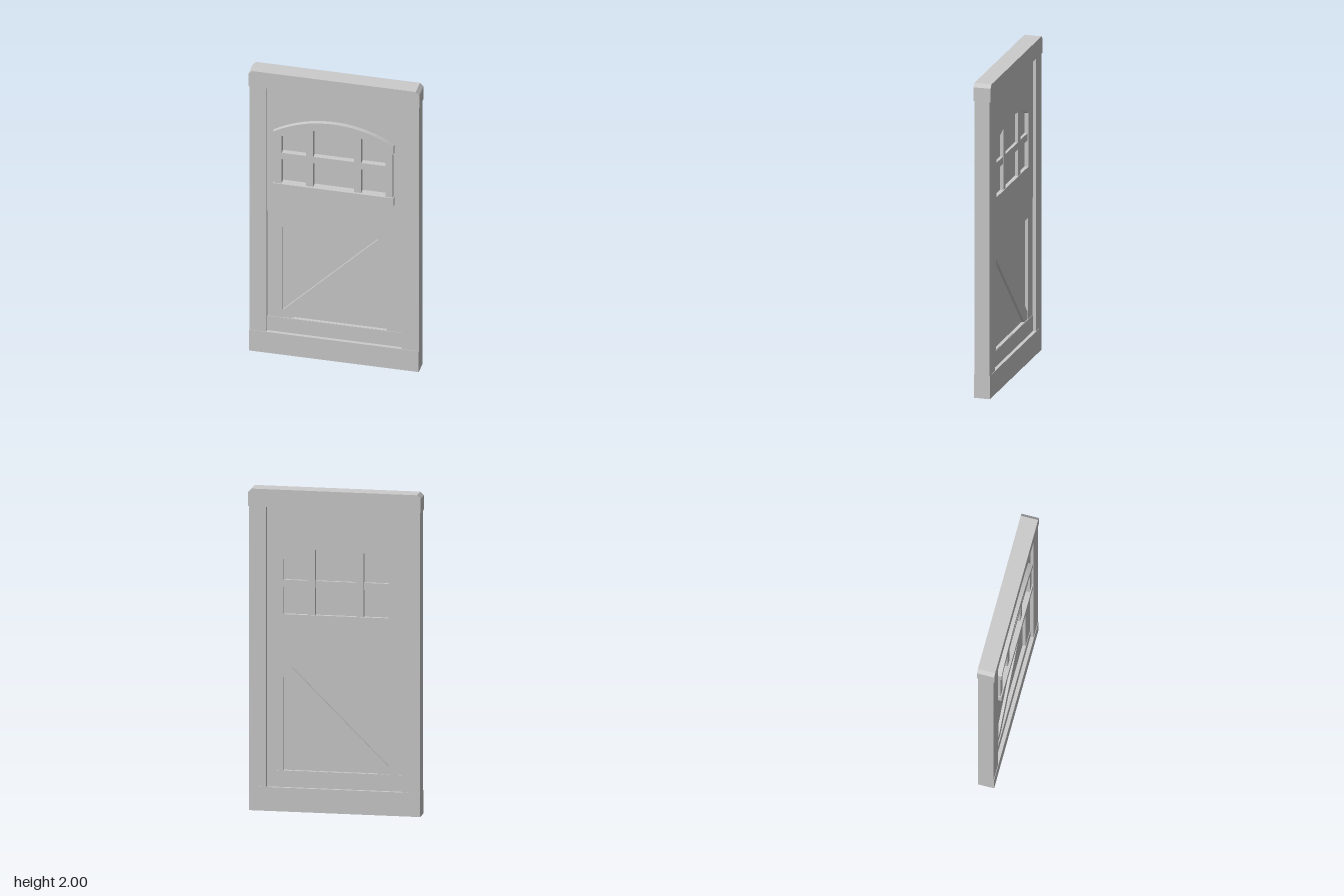
import * as THREE from 'three';

const material = new THREE.MeshStandardMaterial({ color: 0xcccccc, flatShading: true });
const CX = -0.004; // centre line of the window and lower panel

// Box given by its limits on each axis
function slab(group, name, x0, x1, y0, y1, z0, z1) {
  const mesh = new THREE.Mesh(new THREE.BoxGeometry(x1 - x0, y1 - y0, z1 - z0), material);
  mesh.position.set((x0 + x1) / 2, (y0 + y1) / 2, (z0 + z1) / 2);
  mesh.name = name;
  group.add(mesh);
}

// Flat outline extruded between two depths
function plate(group, name, points, z0, z1, hole) {
  const shape = new THREE.Shape(points);
  if (hole) shape.holes.push(new THREE.Path(hole));
  const geometry = new THREE.ExtrudeGeometry(shape, { depth: z1 - z0, bevelEnabled: false });
  const mesh = new THREE.Mesh(geometry, material);
  mesh.position.z = z0;
  mesh.name = name;
  group.add(mesh);
}

const pts = (list) => list.map(([x, y]) => new THREE.Vector2(x, y));
const rect = (x0, x1, y0, y1) => pts([[x0, y0], [x1, y0], [x1, y1], [x0, y1]]);

// Height of a shallow arch with the given crown
const R = 0.722;
const archY = (x, crown) => crown - R + Math.sqrt(R * R - (x - CX) ** 2);

// Points along the arch from x0 to x1
function arch(x0, x1, crown, steps = 20) {
  return Array.from({ length: steps + 1 }, (_, i) => {
    const x = x0 + ((x1 - x0) * i) / steps;
    return new THREE.Vector2(x, archY(x, crown));
  });
}

export function createModel() {
  const model = new THREE.Group();
  model.name = 'door';

  // Outer frame
  const frame = new THREE.Group();
  frame.name = 'frame';
  for (const [name, x0, x1] of [['rightPost', -0.53, -0.423], ['leftPost', 0.423, 0.53]]) {
    slab(frame, name, x0, x1, 0.148, 1.89, -0.05, 0.047);
  }
  slab(frame, 'bottomRail', -0.53, 0.53, 0, 0.148, -0.052, 0.05);
  const w = 0.534, c = 0.022;
  plate(frame, 'header', pts([[-w, 1.89], [w, 1.89], [w, 2 - c], [w - c, 2], [c - w, 2], [-w, 2 - c]]), -0.057, 0.052);
  model.add(frame);

  // Upper leaf with an arched window opening
  const upper = new THREE.Group();
  upper.name = 'upperLeaf';
  const half = 0.325, left = CX + half, right = CX - half;
  const crown = 1.64, sillY = 1.222;
  const opening = [...pts([[left, sillY], [right, sillY]]), ...arch(right, left, crown)];
  plate(upper, 'upperPanel', rect(-0.423, 0.423, 1.0, 1.89), -0.03, 0.027, opening);
  plate(upper, 'windowPane', opening, -0.005, 0.003);

  // Glazing bars
  for (const s of [-1, 1]) {
    const x0 = CX + s * 0.15 - 0.022, x1 = x0 + 0.044;
    plate(upper, 'verticalBar', [...pts([[x0, sillY], [x1, sillY]]), ...arch(x1, x0, crown, 4)], -0.026, 0.042);
  }
  slab(upper, 'horizontalBar', right, left, 1.39, 1.435, -0.024, 0.04);

  // Window trim on the front face
  const t = 0.377;
  for (const s of [-1, 1]) {
    const x0 = Math.min(s * half, s * 0.371) + CX, x1 = x0 + 0.046;
    plate(upper, 'sideTrim', [...pts([[x0, sillY], [x1, sillY]]), ...arch(x1, x0, crown, 4)], 0.02, 0.05);
  }
  slab(upper, 'windowSill', CX - t, CX + t, 1.16, sillY, 0.02, 0.057);
  plate(upper, 'archTrim', [...arch(CX - t, CX + t, crown), ...arch(CX + t, CX - t, 1.695)], 0.02, 0.057);
  model.add(upper);

  // Lower leaf with a recessed panel and a diagonal brace
  const lower = new THREE.Group();
  lower.name = 'lowerLeaf';
  const p0 = 0.25, p1 = 0.895;
  plate(lower, 'lowerSurround', [...rect(-0.423, 0.423, p0, 1.0)], -0.027, 0.024,
    rect(right, left, p0 + 0.001, p1));
  slab(lower, 'kickBoard', -0.423, 0.423, 0.148, p0, -0.03, 0.027);
  slab(lower, 'lowerPanel', right, left, p0, p1, -0.007, 0.004);
  plate(lower, 'diagonalBrace',
    pts([[right, p0], [-0.268, p0], [left, 0.833], [left, p1], [0.273, p1], [right, 0.3]]), -0.024, 0.021);
  model.add(lower);

  return model;
}
